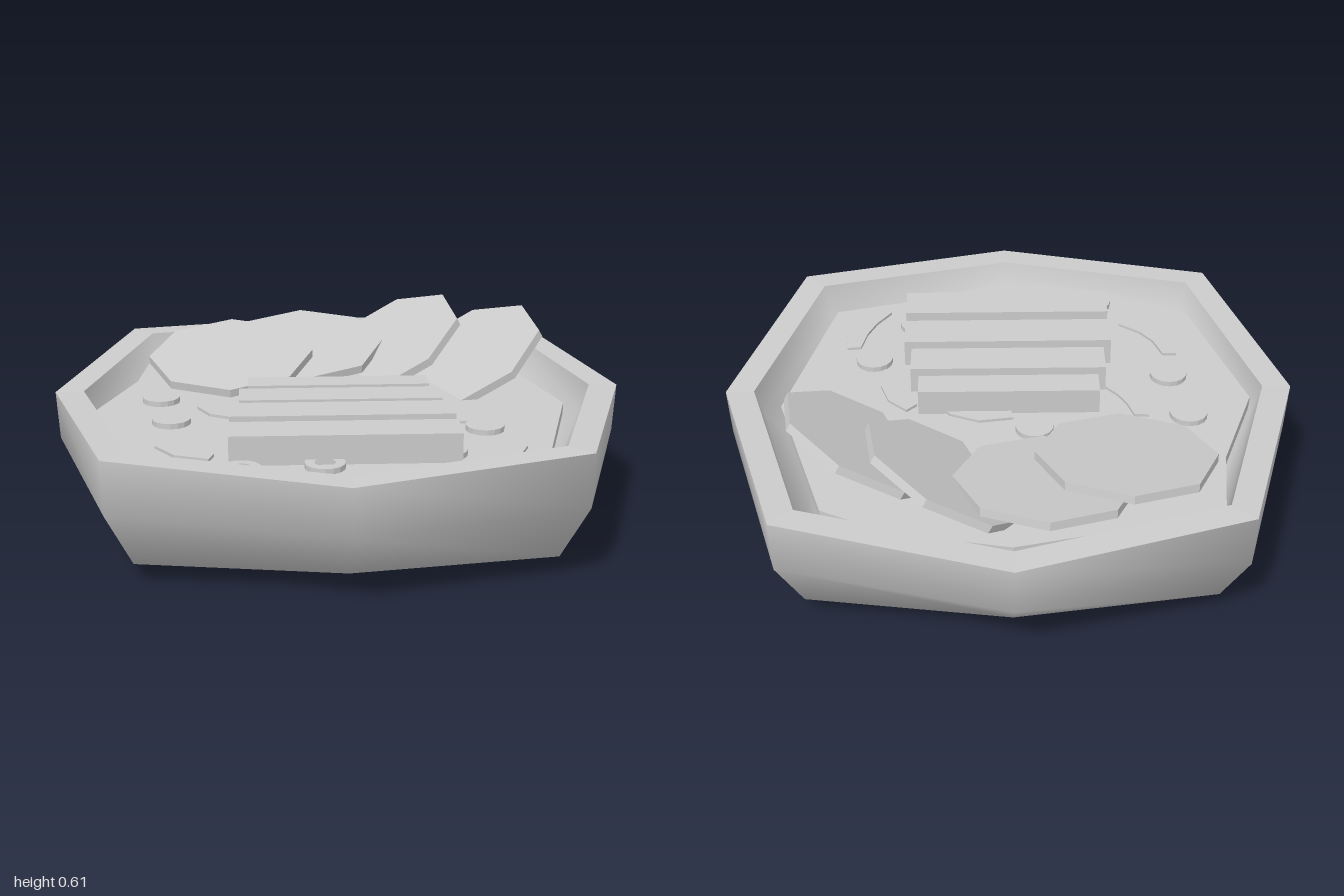
import * as THREE from 'three';

const grey = new THREE.MeshStandardMaterial({ color: 0xcccccc });
const flat = new THREE.MeshStandardMaterial({ color: 0xcccccc, flatShading: true });

function add(group, name, geometry, material = flat) {
  const mesh = new THREE.Mesh(geometry, material);
  mesh.name = name;
  group.add(mesh);
  return mesh;
}

// Skin over eight-sided rings [axis reach, corner reach, axis y, corner y]; a zero reach closes it to a point
function octagonSkin(rings) {
  const pos = [], index = [];
  for (const [axis, corner, ya, yc] of rings) {
    for (let i = 0; i < 8; i++) {
      const a = (i * Math.PI) / 4, odd = i % 2;
      const r = odd ? corner * Math.SQRT2 : axis;
      pos.push(Math.sin(a) * r, odd ? yc : ya, Math.cos(a) * r);
    }
  }
  for (let k = 0; k < rings.length - 1; k++) {
    for (let i = 0; i < 8; i++) {
      const a = k * 8 + i, b = k * 8 + ((i + 1) % 8);
      if (rings[k][0] > 0) index.push(a, b, a + 8);
      if (rings[k + 1][0] > 0) index.push(b, b + 8, a + 8);
    }
  }
  const g = new THREE.BufferGeometry();
  g.setAttribute('position', new THREE.Float32BufferAttribute(pos, 3));
  g.setIndex(index);
  g.computeVertexNormals();
  return g;
}

// Flat slab from a plan outline of [x, z] points, with its top at the given height
function slab(points, top, depth, holes = []) {
  const shape = new THREE.Shape(points.map(([x, z]) => new THREE.Vector2(x, -z)));
  shape.holes.push(...holes);
  const g = new THREE.ExtrudeGeometry(shape, { depth, bevelEnabled: false, curveSegments: 8 });
  g.rotateX(-Math.PI / 2);
  g.translate(0, top - depth, 0);
  return g;
}

// Curved strip between two points through a control point, pinched at the ends
function curvedStrip(a, mid, b, width) {
  const curve = new THREE.QuadraticBezierCurve(
    new THREE.Vector2(...a), new THREE.Vector2(...mid), new THREE.Vector2(...b));
  const one = [], two = [];
  for (let i = 0; i <= 3; i++) {
    const t = i / 3, p = curve.getPoint(t), d = curve.getTangent(t);
    const w = (width / 2) * (i % 3 ? 1 : 0.6);
    one.push([p.x - d.y * w, p.y + d.x * w]);
    two.unshift([p.x + d.y * w, p.y - d.x * w]);
  }
  return slab([...one, ...two], 0.38, 0.03);
}

export function createModel() {
  const model = new THREE.Group();
  model.name = 'soupBowl';

  // Bowl: rounded outside, flat rim, inner wall
  const bowl = new THREE.Group();
  bowl.name = 'bowl';
  model.add(bowl);
  add(bowl, 'bowlOutside', octagonSkin([
    [0, 0, 0, 0], [0.79, 0.69, 0.065, 0.068], [0.99, 0.77, 0.265, 0.265], [1, 0.775, 0.435, 0.453]]), grey);
  add(bowl, 'bowlRim', octagonSkin([[1, 0.775, 0.435, 0.453], [0.9, 0.7, 0.437, 0.453]]));
  add(bowl, 'bowlInside', octagonSkin([
    [0.9, 0.7, 0.437, 0.453], [0.87, 0.68, 0.34, 0.34], [0.7, 0.6, 0.14, 0.14], [0, 0, 0.1, 0.1]]), grey);

  // Soup surface
  add(model, 'broth', slab([
    [0.81, 0], [0.65, 0.64], [0.35, 0.72], [0, 0.85], [-0.22, 0.83], [-0.37, 0.785], [-0.7, 0.6],
    [-0.865, 0.03], [-0.735, -0.33], [-0.69, -0.71], [-0.35, -0.72], [0, -0.8], [0.4, -0.72],
    [0.63, -0.6]], 0.37, 0.04));

  // Row of bars: [x min, x max, z min, z max, top]
  for (const [x0, x1, z0, z1, top] of [
    [-0.32, 0.32, -0.055, 0.048, 0.463], [-0.35, 0.35, 0.088, 0.223, 0.466],
    [-0.38, 0.377, 0.262, 0.41, 0.47], [-0.38, 0.377, 0.465, 0.613, 0.47]]) {
    const bar = add(model, 'bar', new THREE.BoxGeometry(x1 - x0, 0.135, z1 - z0));
    bar.position.set((x0 + x1) / 2, top - 0.0675, (z0 + z1) / 2);
  }

  // Eight-sided slices: [x, top y, z, slope along x, slope along z, turn]
  const up = new THREE.Vector3(0, 1, 0);
  for (const [x, y, z, sx, sz, turn] of [
    [-0.387, 0.452, -0.411, 0.03, -0.17, 0], [-0.113, 0.452, -0.54, 0.03, -0.17, 0],
    [0.205, 0.457, -0.505, 0.557, -0.227, -0.3], [0.488, 0.457, -0.325, 0.557, -0.227, -0.3]]) {
    const g = new THREE.CylinderGeometry(0.308, 0.308, 0.03, 8);
    g.rotateY(turn);
    g.translate(0, -0.015, 0);
    const slice = add(model, 'slice', g);
    slice.position.set(x, y, z);
    slice.quaternion.setFromUnitVectors(up, new THREE.Vector3(-sx, 1, -sz).normalize());
  }

  // Small floating rings
  const outline = [], hole = new THREE.Path();
  for (let i = 0; i < 16; i++) {
    const a = (i * Math.PI) / 8;
    outline.push([Math.cos(a) * 0.067, Math.sin(a) * 0.067]);
  }
  hole.absarc(0, 0, 0.035, 0, Math.PI * 2, true);
  const ringGeometry = slab(outline, 0.389, 0.03, [hole]);
  for (const [x, z] of [
    [-0.633, -0.08], [-0.585, 0.17], [-0.087, -0.157], [-0.34, 0.677], [-0.07, 0.64], [0.49, 0.285],
    [0.11, 0.46], [0.19, 0.27], [-0.05, 0.08], [-0.23, 0.02], [0.335, 0.53], [-0.3, 0.35]]) {
    add(model, 'ring', ringGeometry).position.set(x, 0, z);
  }

  // Curved strips: start, control, end
  for (const [a, mid, b] of [
    [[-0.467, -0.085], [-0.48, 0.06], [-0.355, 0.125]], [[-0.603, 0.31], [-0.61, 0.49], [-0.437, 0.545]],
    [[0.57, 0.37], [0.59, 0.54], [0.455, 0.64]], [[-0.01, -0.07], [0.17, -0.1], [0.25, 0.04]],
    [[0.345, -0.025], [0.43, 0.06], [0.425, 0.22]]]) {
    add(model, 'curvedStrip', curvedStrip(a, mid, b, 0.085));
  }

  return model;
}
